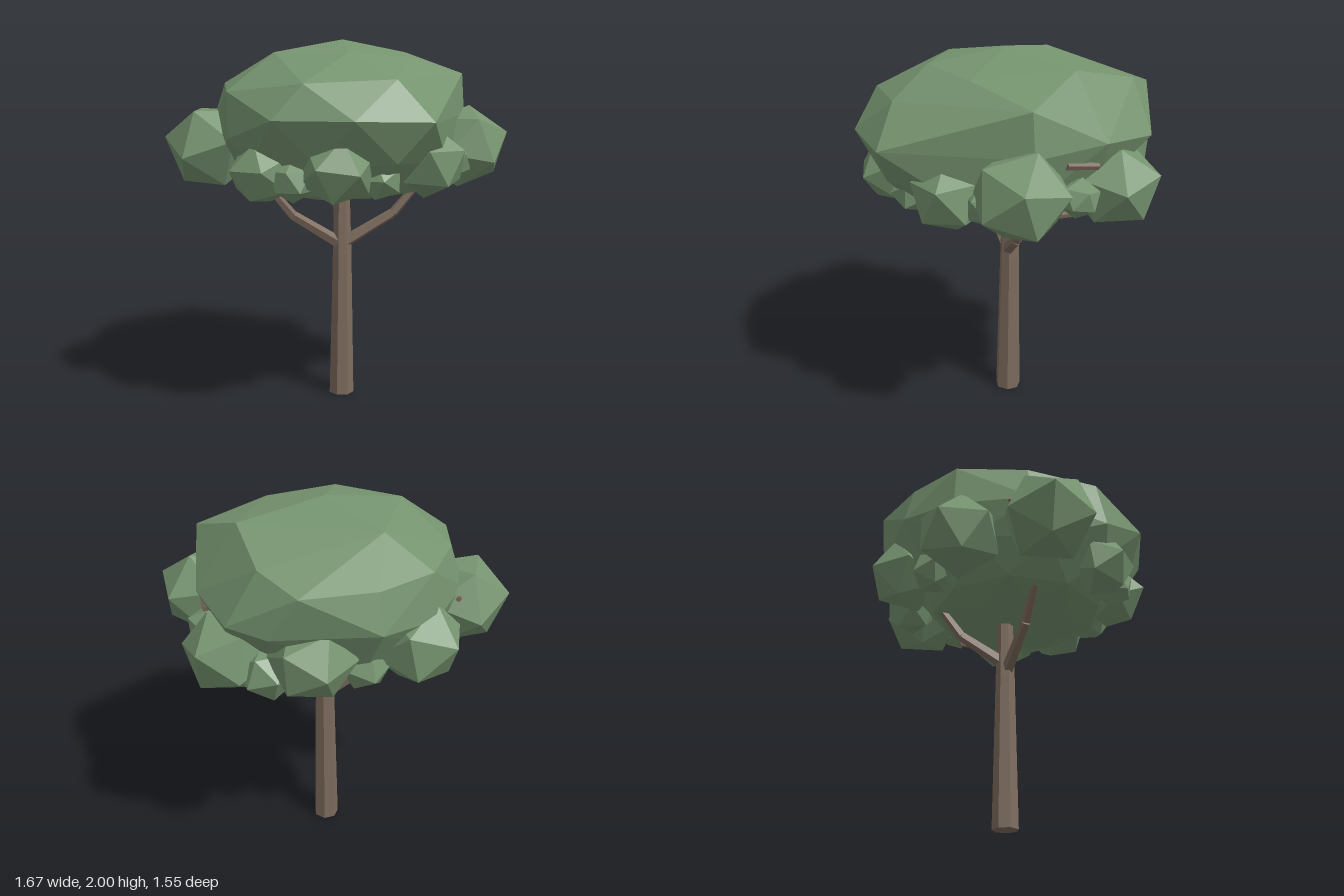
import * as THREE from 'three';
import { ConvexGeometry } from 'three/addons/geometries/ConvexGeometry.js';

const V = (p) => new THREE.Vector3(...p);

export function createModel() {
  const model = new THREE.Group();
  const bark = new THREE.MeshStandardMaterial({ name: 'bark brown', color: 0x7d6b5d, flatShading: true });
  const leaf = new THREE.MeshStandardMaterial({ name: 'leaf green', color: 0x769470, flatShading: true });

  const add = (name, geometry, material, parent = model) => {
    const mesh = new THREE.Mesh(geometry, material);
    mesh.name = name;
    parent.add(mesh);
    return mesh;
  };

  // Tapered limb between two points
  const limb = (name, a, b, ra, rb, sides, parent) => {
    const from = V(a), dir = V(b).sub(from);
    const mesh = add(name, new THREE.CylinderGeometry(rb, ra, dir.length(), sides), bark, parent);
    mesh.position.copy(from).addScaledVector(dir, 0.5);
    mesh.quaternion.setFromUnitVectors(new THREE.Vector3(0, 1, 0), dir.normalize());
  };

  // Trunk in two tapered sections
  limb('lowerTrunk', [0.045, 0, -0.037], [0.05, 0.83, -0.04], 0.071, 0.054, 7);
  limb('upperTrunk', [0.05, 0.83, -0.04], [0.05, 1.3, -0.045], 0.054, 0.042, 7);

  // Bent branches reaching into the crown
  const branches = {
    leftBranch: [[0.05, 0.88, -0.03], [0.3, 1.05, 0.1], [0.42, 1.21, 0.16], [0.48, 1.3, 0.18]],
    rightBranch: [[0.03, 0.88, -0.04], [-0.23, 1.05, -0.1], [-0.35, 1.2, -0.13], [-0.42, 1.3, -0.16]],
    backBranch: [[0.06, 0.93, -0.05], [0.15, 1.07, -0.27], [0.19, 1.2, -0.36], [0.21, 1.3, -0.4]],
  };
  for (const [name, path] of Object.entries(branches)) {
    const group = new THREE.Group();
    group.name = name;
    model.add(group);
    const radii = [0.036, 0.028, 0.022, 0.018];
    for (let i = 0; i < 3; i++) {
      limb('branchSegment', path[i], path[i + 1], radii[i], radii[i + 1], 5, group);
    }
  }
  // Twigs just showing through the leaves
  limb('leftTwig', [0.655, 1.545, 0.09], [0.68, 1.515, -0.09], 0.022, 0.017, 5);
  limb('lowLeftTwig', [0.57, 1.27, 0.08], [0.57, 1.25, -0.03], 0.02, 0.015, 5);
  limb('rightTwig', [-0.62, 1.5, -0.3], [-0.53, 1.53, -0.42], 0.02, 0.015, 5);

  // Main faceted crown, ring by ring from the top
  const crown = [
    [0.04, 2, -0.02],
    [-0.4, 1.925, 0.04], [-0.14, 1.92, 0.34], [0.24, 1.9, 0.34],
    [0.5, 1.94, -0.09], [-0.12, 1.94, -0.42],
    [-0.03, 1.79, 0.61], [-0.46, 1.77, 0.46], [-0.67, 1.73, 0.05], [-0.53, 1.77, -0.3],
    [-0.3, 1.79, -0.6], [0, 1.78, -0.69], [0.38, 1.8, -0.69], [0.5, 1.86, -0.47], [0.63, 1.82, 0.27],
    [0.08, 1.59, 0.77], [-0.31, 1.6, 0.68], [-0.61, 1.6, 0.42], [-0.69, 1.5, 0.1], [-0.6, 1.55, -0.32],
    [-0.32, 1.55, -0.62], [0, 1.58, -0.74], [0.5, 1.58, -0.61], [0.66, 1.6, -0.46], [0.72, 1.63, -0.11],
    [0.65, 1.6, 0.27],
    [-0.05, 1.39, 0.65], [0.05, 1.15, -0.03],
  ].map(V);
  // Lower rings curving in to a broad, shallow underside
  for (const [y, radius, count] of [[1.37, 0.62, 10], [1.21, 0.47, 9], [1.17, 0.28, 6]]) {
    for (let i = 0; i < count; i++) {
      const a = (i / count) * Math.PI * 2 + 0.35;
      crown.push(new THREE.Vector3(Math.cos(a) * radius, y, Math.sin(a) * radius));
    }
  }
  add('crown', new ConvexGeometry(crown), leaf);

  // Leaf clumps around the rim: x, y, z, radius
  const clumps = [
    [-0.63, 1.44, -0.24, 0.26], [-0.54, 1.33, 0.18, 0.18], [-0.28, 1.36, 0.47, 0.2],
    [0.26, 1.37, 0.47, 0.21], [0.61, 1.43, 0.32, 0.25], [0.61, 1.37, -0.27, 0.24],
    [0.66, 1.37, 0.01, 0.11], [0.28, 1.42, -0.56, 0.22], [-0.26, 1.41, -0.54, 0.24],
    [0.46, 1.31, -0.43, 0.15], [0.46, 1.36, 0.4, 0.12],
    [-0.45, 1.3, 0.33, 0.12], [0.01, 1.32, -0.54, 0.13], [-0.05, 1.3, 0.5, 0.12],
  ];
  clumps.forEach(([x, y, z, r], i) => {
    const geometry = new THREE.IcosahedronGeometry(r, 0);
    geometry.rotateX(i * 1.3 + 0.4).rotateY(i * 2.1).scale(1, 0.92, 1);
    add('leafClump', geometry, leaf).position.set(x, y, z);
  });

  return model;
}
